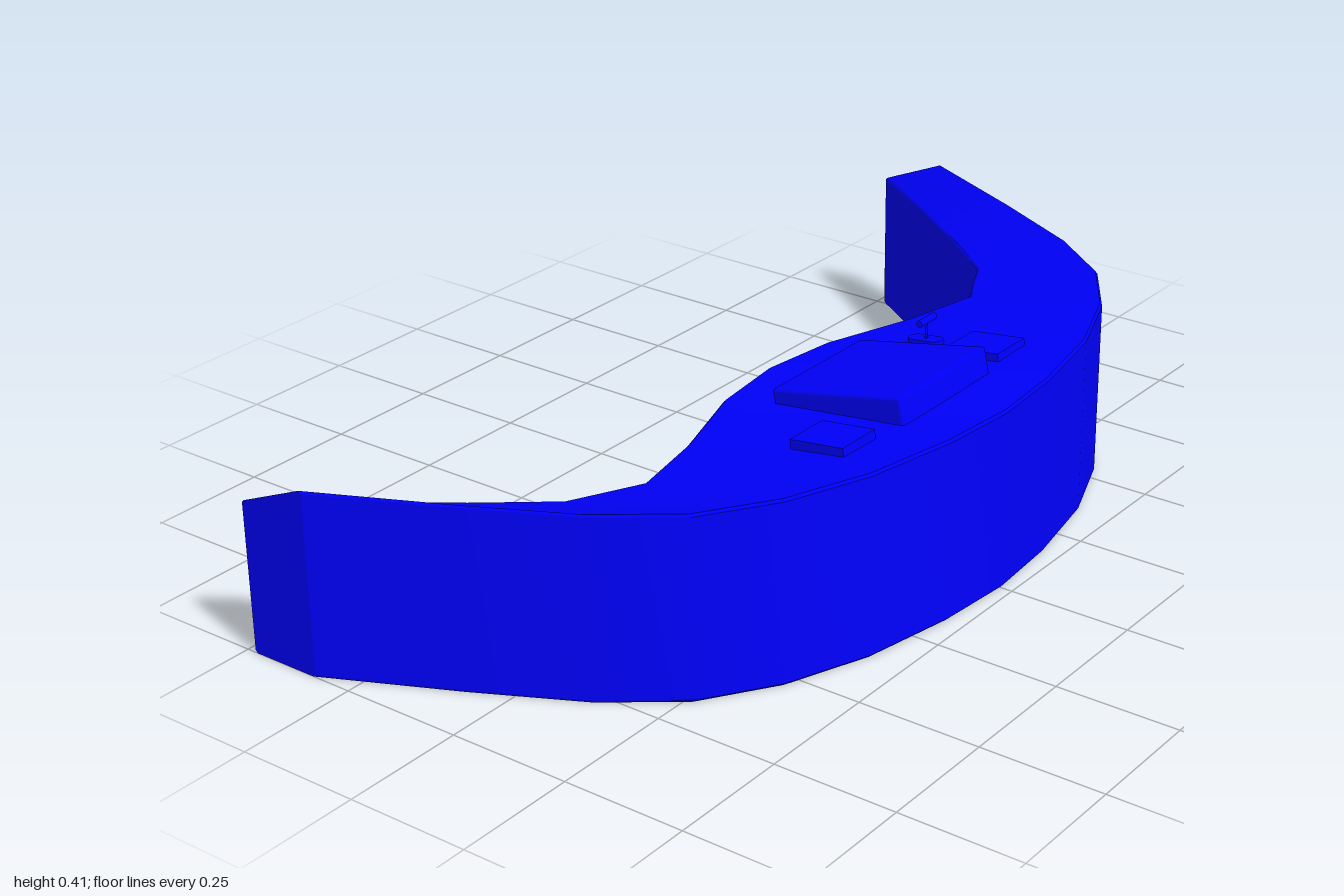
import * as THREE from 'three';
import { mergeGeometries } from 'three/addons/utils/BufferGeometryUtils.js';
import { RoundedBoxGeometry } from 'three/addons/geometries/RoundedBoxGeometry.js';

const FRONT_TOP = 0.37, BACK_TOP = 0.31, CHAMFER = 0.005;
const material = new THREE.MeshStandardMaterial({ color: 0x0000ff });

// Half plan of the desk: x, inner z, outer z
const half = [
  [0, -0.07, 0.478], [0.165, -0.05, 0.465], [0.36, 0.015, 0.428],
  [0.53, 0.05, 0.363], [0.67, -0.02, 0.269], [0.775, -0.155, 0.13],
  [0.88, -0.30, -0.075], [1, -0.48, -0.33],
];
const stations = [...half.slice(1).reverse().map(([x, a, b]) => [-x, a, b]), ...half];

function add(group, name, geometry, x = 0, y = 0, z = 0) {
  const mesh = new THREE.Mesh(geometry, material);
  mesh.name = name;
  mesh.position.set(x, y, z);
  group.add(mesh);
  return mesh;
}

function surface(points, index) {
  const geometry = new THREE.BufferGeometry();
  geometry.setAttribute('position', new THREE.Float32BufferAttribute(points.flat(), 3));
  geometry.setIndex(index);
  geometry.computeVertexNormals();
  return geometry;
}

// Chamfered cross-section, running up the inner wall and down the outer one
function section([x, a, b]) {
  const c = CHAMFER;
  return [
    [a + c, 0], [a, c], [a, BACK_TOP - c], [a + c, BACK_TOP],
    [b - c, FRONT_TOP], [b, FRONT_TOP - c], [b, c], [b - c, 0],
  ].map(([z, y]) => [x, y, z]);
}

// Each strip is smooth along the curve and sharp against its neighbours
function deskGeometry() {
  const rings = stations.map(section);
  const parts = [];
  for (let j = 0; j < 8; j++) {
    const index = [];
    for (let i = 0; i < rings.length - 1; i++) {
      const p = i * 2;
      index.push(p, p + 1, p + 3, p, p + 3, p + 2);
    }
    parts.push(surface(rings.flatMap((r) => [r[j], r[(j + 1) % 8]]), index));
  }
  const cap = [];
  for (let j = 1; j < 7; j++) cap.push(0, j, j + 1);
  parts.push(surface(rings[rings.length - 1], cap));
  parts.push(surface(rings[0], [...cap].reverse()));
  return mergeGeometries(parts);
}

export function createModel() {
  const model = new THREE.Group();
  model.name = 'curvedConsole';

  // Curved desk whose top falls towards the inner side
  add(model, 'deskBody', deskGeometry());

  // Screen tilted up from the desk top
  const screen = add(model, 'screen', new RoundedBoxGeometry(0.29, 0.07, 0.295, 2, 0.007), 0, 0.345, 0.198);
  screen.rotation.x = -0.205;

  // Small panels beside the screen, lying along the sloping top
  for (const [name, x, width] of [['rightPanel', -0.262, 0.1], ['leftPanel', 0.246, 0.095]]) {
    const panel = add(model, name, new THREE.BoxGeometry(width, 0.03, 0.118), x, 0.349, 0.272);
    panel.rotation.x = -0.127;
  }

  // Lever: round-ended slot plate, stem and cross handle
  const lever = new THREE.Group();
  lever.name = 'lever';
  lever.position.set(0.24, 0.331, 0.138);
  const plate = new THREE.Shape();
  plate.absarc(0, 0.023, 0.016, 0, Math.PI);
  plate.absarc(0, -0.023, 0.016, Math.PI, Math.PI * 2);
  const plateGeometry = new THREE.ExtrudeGeometry(plate, { depth: 0.01, bevelEnabled: false, curveSegments: 8 });
  add(lever, 'slotPlate', plateGeometry.rotateX(-Math.PI / 2)).rotation.x = -0.127;
  add(lever, 'stem', new THREE.CylinderGeometry(0.003, 0.003, 0.05, 10), 0, 0.024, 0);
  add(lever, 'handle', new THREE.CylinderGeometry(0.007, 0.007, 0.053, 16).rotateZ(Math.PI / 2), 0, 0.048, 0);
  model.add(lever);

  return model;
}
